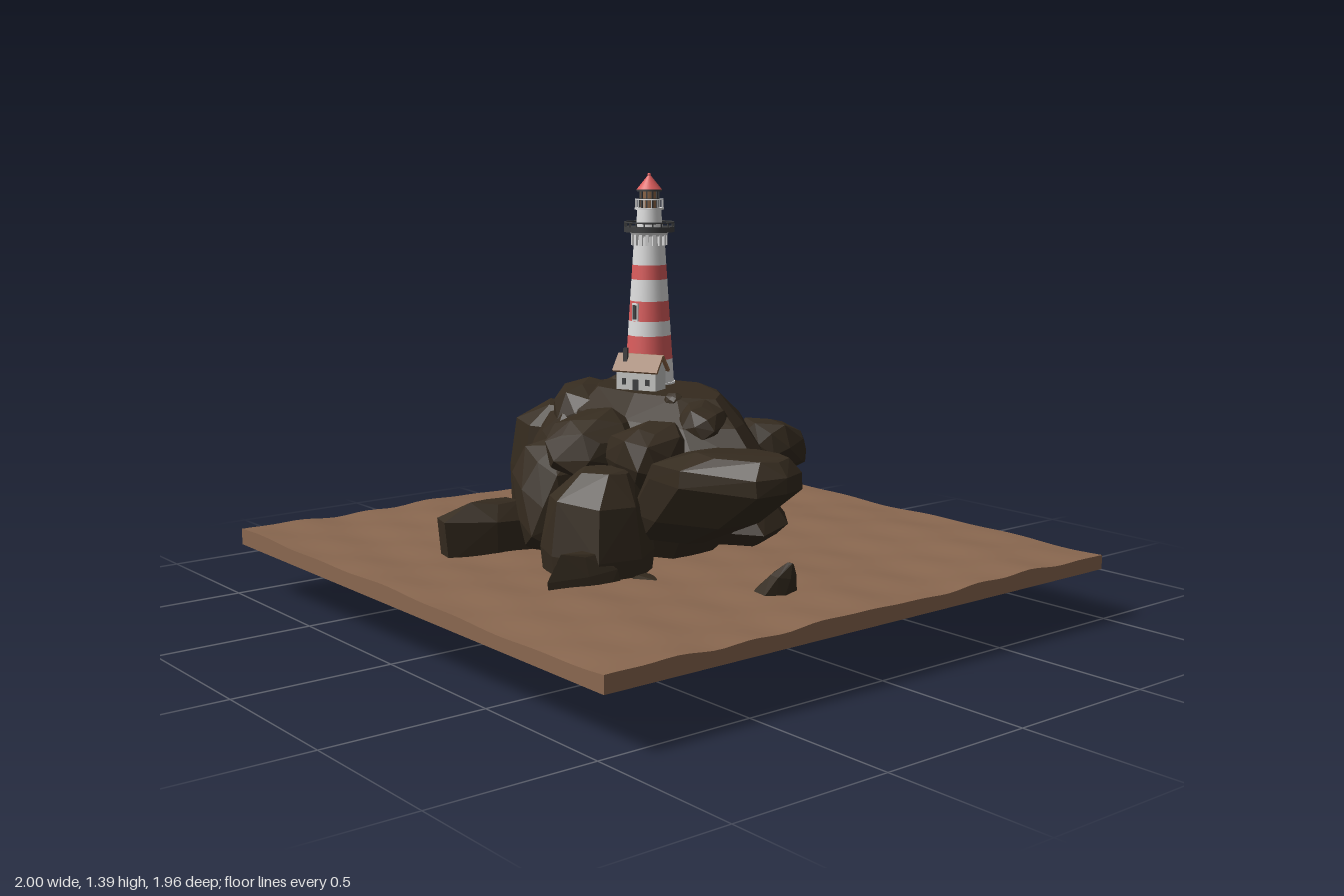
import * as THREE from 'three';
import { ConvexGeometry } from 'three/addons/geometries/ConvexGeometry.js';

const mat = (name, color) => {
  const m = new THREE.MeshStandardMaterial({ color });
  m.name = name;
  return m;
};

export function createModel() {
  const root = new THREE.Group();
  root.name = 'lighthouseIsland';
  const stone = mat('dark rock', 0x352b1f);
  const sand = mat('brown sea bed', 0x8a6850);
  const white = mat('white paint', 0xdedede);
  const red = mat('red paint', 0xdb5c5c);
  const iron = mat('dark iron', 0x3e3f40);
  const wall = mat('pale plaster', 0xc8c8c5);
  const tile = mat('roof tile', 0x8c6546);
  stone.flatShading = true;

  let seed = 7;
  const rnd = () => {
    seed = (seed * 16807) % 2147483647;
    return seed / 2147483647 - 0.5;
  };
  const add = (parent, name, geo, material, x = 0, y = 0, z = 0) => {
    const m = new THREE.Mesh(geo, material);
    m.name = name;
    m.position.set(x, y, z);
    parent.add(m);
    return m;
  };

  // Slab with gentle waves and short ripples on its top
  const slab = new THREE.BoxGeometry(2, 0.05, 1.96, 50, 1, 50);
  const p = slab.attributes.position;
  for (let i = 0; i < p.count; i++) {
    if (p.getY(i) < 0) continue;
    const x = p.getX(i), z = p.getZ(i);
    p.setY(i, 0.024 + 0.004 * Math.sin(9 * z + 2 * Math.sin(3 * x)) + 0.004 * Math.sin(25 * z + 5 * x) * Math.cos(11 * x - 3 * z));
  }
  slab.computeVertexNormals();
  add(root, 'ground', slab, sand, 0, 0.2, 0);

  // Faceted rocks: a plan outline [x, z] repeated at levels [y, scale, dx, dz]
  const rocks = new THREE.Group();
  rocks.name = 'rocks';
  root.add(rocks);
  const rock = (name, outline, levels, jitter = 0.02) => {
    const cx = outline.reduce((s, q) => s + q[0], 0) / outline.length;
    const cz = outline.reduce((s, q) => s + q[1], 0) / outline.length;
    const pts = [];
    for (const [y, s, dx = 0, dz = 0] of levels)
      for (const [x, z] of outline)
        pts.push(new THREE.Vector3(
          cx + (x - cx) * s + dx + rnd() * jitter * 0.5,
          y + rnd() * jitter,
          cz + (z - cz) * s + dz + rnd() * jitter * 0.5));
    add(rocks, name, new ConvexGeometry(pts), stone);
  };
  // Squarish ellipsoid boulder, tilted about z and x
  const boulder = (name, c, r, tiltZ = 0, tiltX = 0) => {
    const pts = [];
    const n = 40;
    for (let i = 0; i < n; i++) {
      const h = 1 - (2 * (i + 0.5)) / n, a = i * 2.39996, w = Math.sqrt(1 - h * h);
      const v = [w * Math.cos(a), h, w * Math.sin(a)].map(t => Math.sign(t) * Math.abs(t) ** 0.85);
      const k = 1 + rnd() * 0.24;
      pts.push(new THREE.Vector3(v[0] * r[0] * k, v[1] * r[1] * k, v[2] * r[2] * k));
    }
    const m = add(rocks, name, new ConvexGeometry(pts), stone, ...c);
    m.rotation.set(tiltX, 0, tiltZ);
  };

  rock('plateauRock',
    [[-0.41, -0.13], [-0.32, -0.24], [0, -0.29], [0.2, -0.25], [0.38, -0.12], [0.47, 0], [0.35, 0.14], [0.1, 0.21], [-0.2, 0.2], [-0.38, 0.06]],
    [[0.36, 0.5], [0.45, 0.85], [0.54, 1], [0.64, 0.87, -0.05], [0.713, 0.64, -0.08, -0.02]], 0.014);
  rock('backSlabRock',
    [[-0.68, -0.1], [-0.52, -0.26], [-0.28, -0.43], [0.1, -0.46], [0.2, -0.38], [0.28, -0.2], [0.1, 0], [-0.3, 0.1]],
    [[0.12, 0.4, 0.05], [0.17, 0.72], [0.27, 1], [0.36, 0.85, -0.03], [0.47, 0.4, -0.1, 0.05]]);
  rock('leftRock',
    [[-0.7, -0.1], [-0.71, 0.02], [-0.6, 0.17], [-0.48, 0.2], [-0.34, 0.16], [-0.32, -0.05], [-0.5, -0.15]],
    [[0.09, 0.72], [0.14, 0.96], [0.42, 1], [0.57, 0.88, 0.02, 0.01], [0.625, 0.5, 0.07, 0.01]]);
  rock('rightRock',
    [[0.25, 0.1], [0.4, -0.03], [0.6, 0], [0.73, 0.06], [0.76, 0.15], [0.73, 0.24], [0.5, 0.33], [0.34, 0.31]],
    [[0.32, 0.6, -0.28], [0.4, 0.86, -0.15], [0.52, 1], [0.57, 0.98], [0.612, 0.6, 0.05]], 0.012);
  rock('coreRock',
    [[-0.35, -0.1], [0, -0.2], [0.27, -0.08], [0.28, 0.15], [0.05, 0.24], [-0.28, 0.2]],
    [[0.21, 0.7], [0.3, 1], [0.55, 0.95]]);
  rock('frontRightRock',
    [[-0.04, 0.36], [0.05, 0.24], [0.25, 0.22], [0.31, 0.32], [0.29, 0.46], [0.13, 0.52], [0.02, 0.48]],
    [[0.015, 0.5, 0, 0.02], [0.1, 0.88], [0.28, 1], [0.44, 0.86], [0.52, 0.5, 0, -0.04]]);
  rock('frontLeftFoot',
    [[-0.35, 0.48], [-0.31, 0.64], [-0.26, 0.65], [-0.19, 0.5], [-0.17, 0.34], [-0.28, 0.36]],
    [[0.1, 0.75, 0.01, -0.04], [0.2, 0.95], [0.33, 1], [0.38, 0.5, 0, -0.02]]);
  rock('frontRightFoot',
    [[0.18, 0.48], [0.22, 0.6], [0.27, 0.64], [0.3, 0.5], [0.3, 0.4], [0.2, 0.38]],
    [[0.04, 0.7, 0.04, -0.08], [0.12, 1, 0.02, -0.02], [0.25, 0.95], [0.31, 0.5]]);
  rock('loneRock',
    [[0.52, 0.12], [0.58, 0.03], [0.68, 0.05], [0.71, 0.14], [0.66, 0.21], [0.57, 0.2]],
    [[0.07, 0.75, -0.01], [0.12, 1], [0.21, 0.75, 0.05], [0.28, 0.4, 0.1], [0.32, 0.1, 0.13]], 0.01);

  // Smaller boulders piled around the sides
  boulder('lowFrontLeftBoulder', [-0.2, 0.15, 0.17], [0.17, 0.14, 0.16]);
  boulder('midFrontLeftBoulder', [-0.15, 0.39, 0.28], [0.14, 0.19, 0.15], 0.2, -0.2);
  boulder('midLeftBoulder', [-0.3, 0.42, 0.12], [0.15, 0.23, 0.13], 0.15);
  boulder('upperLeftBoulder', [-0.28, 0.6, 0.06], [0.13, 0.12, 0.14], -0.4);
  boulder('upperFrontBoulder', [-0.02, 0.57, 0.25], [0.13, 0.1, 0.14], -0.2, 0.3);
  boulder('upperFrontRightBoulder', [0.17, 0.54, 0.18], [0.14, 0.12, 0.12], 0.3);
  boulder('backRightBoulder', [0.22, 0.54, -0.28], [0.11, 0.085, 0.13], 0.1, -0.35);
  boulder('lowRightBoulder', [0.31, 0.14, 0.3], [0.1, 0.09, 0.1], -0.4);
  boulder('backBoulder', [-0.12, 0.47, -0.25], [0.18, 0.1, 0.13], 0.1);
  boulder('shoulderBoulder', [0.25, 0.63, 0.03], [0.08, 0.085, 0.08], -0.6);
  boulder('leftCrestBoulder', [-0.32, 0.67, -0.1], [0.08, 0.06, 0.09], 0.4);
  for (const [x, y, z] of [[0.13, 0.7, 0.05], [-0.32, 0.71, -0.12]])
    boulder('pebble', [x, y, z], [0.035, 0.03, 0.03]);

  // Lighthouse: tapered tower in alternating bands
  const tower = new THREE.Group();
  tower.name = 'lighthouse';
  tower.position.set(-0.163, 0, -0.088);
  root.add(tower);
  const radius = y => 0.081 - (y - 0.72) * 0.066;
  const drum = (name, y0, y1, r0, r1, m, sides = 28) =>
    add(tower, name, new THREE.CylinderGeometry(r1, r0, y1 - y0, sides), m, 0, (y0 + y1) / 2, 0);
  const bands = [0.72, 0.8, 0.877, 0.925, 0.99, 1.06, 1.107, 1.2];
  for (let i = 0; i < bands.length - 1; i++)
    drum(i % 2 ? 'redBand' : 'whiteBand', bands[i], bands[i + 1], radius(bands[i]), radius(bands[i + 1]), i % 2 ? red : white);
  drum('footing', 0.69, 0.724, 0.085, 0.085, white);
  const ring = (name, y, r, t, m) => {
    add(tower, name, new THREE.TorusGeometry(r, t, 6, 28), m, 0, y, 0).rotation.x = Math.PI / 2;
  };
  const posts = (name, n, r, y0, y1, w, m) => {
    for (let i = 0; i < n; i++) {
      const a = (i / n) * Math.PI * 2;
      add(tower, name, new THREE.BoxGeometry(w, y1 - y0, w), m, Math.sin(a) * r, (y0 + y1) / 2, Math.cos(a) * r).rotation.y = a;
    }
  };
  // Gallery with brackets and railing
  drum('galleryNeck', 1.2, 1.216, 0.056, 0.066, white);
  posts('bracket', 16, 0.054, 1.17, 1.216, 0.01, white);
  drum('galleryFloor', 1.213, 1.23, 0.082, 0.082, iron);
  posts('galleryPost', 18, 0.08, 1.23, 1.244, 0.004, iron);
  ring('galleryRail', 1.244, 0.08, 0.003, iron);
  // Lantern room and cap
  drum('lanternBase', 1.228, 1.285, 0.043, 0.039, white);
  drum('lanternFloor', 1.285, 1.291, 0.048, 0.048, white);
  drum('lamp', 1.291, 1.35, 0.028, 0.028, tile, 12);
  posts('lanternBar', 10, 0.03, 1.291, 1.35, 0.005, iron);
  ring('lanternBand', 1.32, 0.03, 0.002, iron);
  posts('lanternRailPost', 12, 0.045, 1.29, 1.318, 0.003, white);
  ring('lanternRail', 1.318, 0.045, 0.002, white);
  drum('capRim', 1.344, 1.35, 0.041, 0.041, iron);
  drum('cap', 1.35, 1.396, 0.041, 0.004, red);
  add(tower, 'finial', new THREE.SphereGeometry(0.006, 10, 8), red, 0, 1.397, 0);
  // Tower window
  for (const [name, w, h, d, m] of [['windowFrame', 0.024, 0.058, 0, white], ['window', 0.014, 0.046, 0.003, iron]]) {
    const r = radius(0.955) + d;
    add(tower, name, new THREE.BoxGeometry(w, h, 0.008), m, Math.sin(0.15) * r, 0.955, Math.cos(0.15) * r).rotation.y = 0.15;
  }

  // Keeper's house beside the tower
  const house = new THREE.Group();
  house.name = 'house';
  house.position.set(-0.064, 0.7, 0.025);
  house.rotation.y = 0.43;
  root.add(house);
  const gable = new THREE.Shape([[-0.036, 0], [0.036, 0], [0.036, 0.08], [0, 0.122], [-0.036, 0.08]].map(q => new THREE.Vector2(...q)));
  const body = new THREE.ExtrudeGeometry(gable, { depth: 0.14, bevelEnabled: false });
  body.translate(0, 0, -0.07).rotateY(Math.PI / 2);
  add(house, 'houseWalls', body, wall);
  for (const s of [-1, 1])
    add(house, 'roofSlope', new THREE.BoxGeometry(0.16, 0.008, 0.068), tile, 0, 0.103, s * 0.023).rotation.x = s * 0.86;
  add(house, 'chimney', new THREE.BoxGeometry(0.013, 0.055, 0.013), iron, -0.045, 0.123, 0.018);
  add(house, 'door', new THREE.BoxGeometry(0.02, 0.05, 0.006), iron, 0, 0.028, 0.036);
  for (const x of [-0.042, 0.042])
    for (const s of [-1, 1])
      add(house, 'houseWindow', new THREE.BoxGeometry(0.014, 0.02, 0.006), iron, x, 0.045, s * 0.036);
  return root;
}
